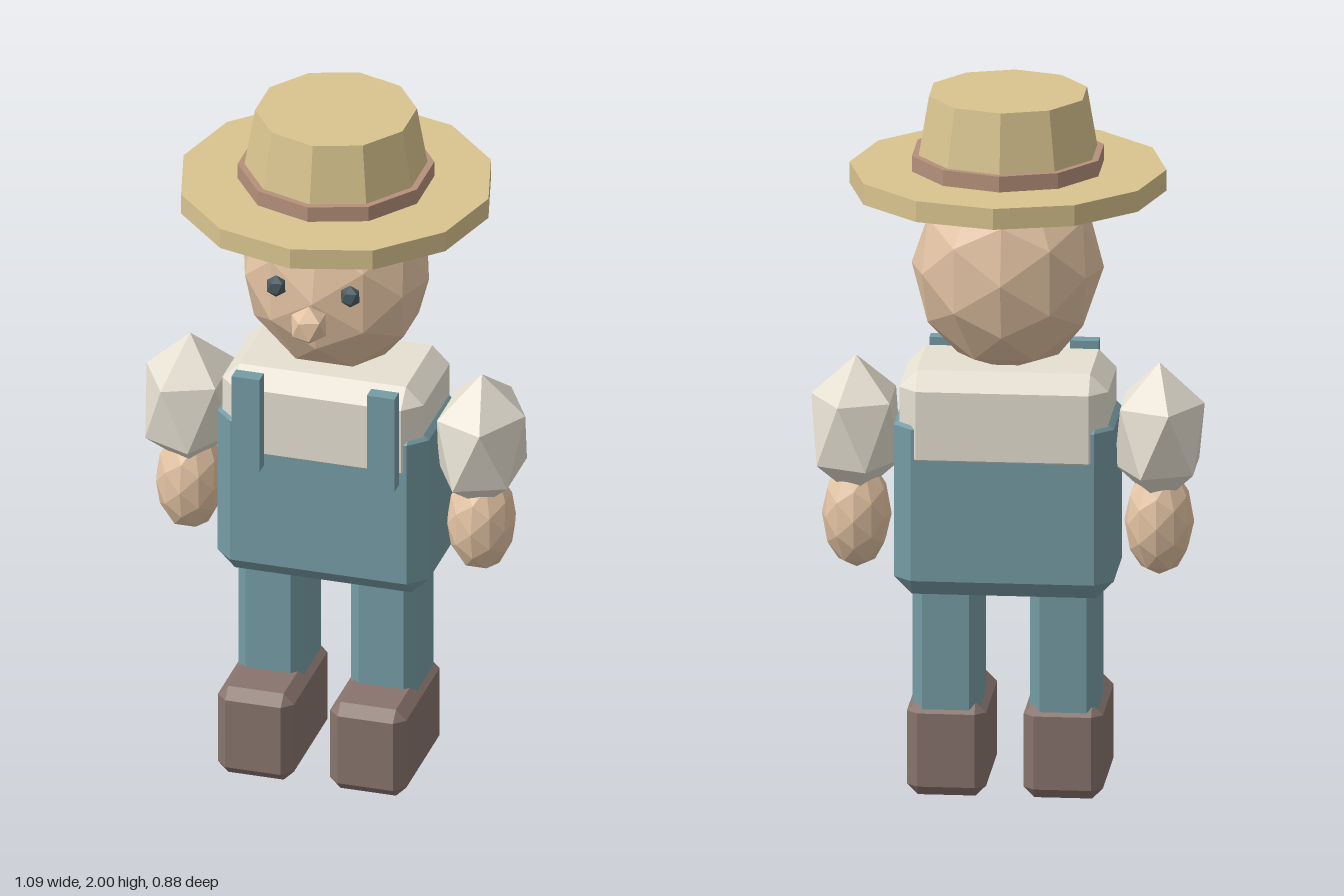
import * as THREE from 'three';
import { ConvexGeometry } from 'three/addons/geometries/ConvexGeometry.js';

const mat = (color) => new THREE.MeshStandardMaterial({ color, flatShading: true });
const STRAW = mat(0xd9c48f), BAND = mat(0xb5907a), SKIN = mat(0xe4c4a4), SHIRT = mat(0xe6e0d2);
const DENIM = mat(0x769ca5), BOOT = mat(0x88746d), EYE = mat(0x4a5a60);

// angle that stands an icosahedron on one of its corners
const ON_CORNER = Math.atan(0.5257 / 0.8507);

// box with every edge cut off at 45 degrees
function chamferBox(w, h, d, c) {
  const points = [];
  for (const sx of [-1, 1]) for (const sy of [-1, 1]) for (const sz of [-1, 1]) {
    const x = w / 2, y = h / 2, z = d / 2;
    points.push(
      new THREE.Vector3(sx * x, sy * (y - c), sz * (z - c)),
      new THREE.Vector3(sx * (x - c), sy * y, sz * (z - c)),
      new THREE.Vector3(sx * (x - c), sy * (y - c), sz * z));
  }
  return new ConvexGeometry(points);
}

// faceted ball stretched to the given radii, optionally turned first
function ball(detail, rx, ry, rz, turnZ = 0) {
  return new THREE.IcosahedronGeometry(1, detail).rotateZ(turnZ).scale(rx, ry, rz);
}

export function createModel() {
  const model = new THREE.Group();
  const add = (name, geometry, material, x, y, z) => {
    const mesh = new THREE.Mesh(geometry, material);
    mesh.name = name;
    mesh.position.set(x, y, z);
    model.add(mesh);
    return mesh;
  };

  // body
  add('overalls', chamferBox(0.61, 0.535, 0.344, 0.05), DENIM, 0, 0.8525, 0);
  add('shirt', chamferBox(0.58, 0.295, 0.354, 0.05), SHIRT, 0, 1.0825, 0);

  // head
  add('head', ball(1, 0.267, 0.3, 0.235), SKIN, 0, 1.505, -0.005);
  add('nose', ball(0, 0.055, 0.058, 0.058, ON_CORNER), SKIN, 0, 1.457, 0.262);

  // paired parts
  for (const [side, s] of [['left', 1], ['right', -1]]) {
    add(side + 'Eye', ball(0, 0.03, 0.034, 0.024, ON_CORNER), EYE, s * 0.107, 1.542, 0.22);
    add(side + 'Strap', new THREE.BoxGeometry(0.08, 0.29, 0.042), DENIM, s * 0.195, 1.093, 0.199);
    add(side + 'Sleeve', ball(0, 0.14, 0.205, 0.182, -s * ON_CORNER), SHIRT, s * 0.421, 1.028, 0);
    add(side + 'Hand', ball(1, 0.097, 0.155, 0.105), SKIN, s * 0.42, 0.78, 0);
    add(side + 'Leg', chamferBox(0.19, 0.49, 0.22, 0.03), DENIM, s * 0.163, 0.415, 0);
    add(side + 'Boot', chamferBox(0.22, 0.27, 0.38, 0.03), BOOT, s * 0.162, 0.135, 0.07);
  }

  // hat
  add('hatBrim', new THREE.CylinderGeometry(0.44, 0.44, 0.06, 12), STRAW, 0, 1.757, 0);
  add('hatBand', new THREE.CylinderGeometry(0.272, 0.272, 0.046, 10), BAND, 0, 1.809, 0);
  add('hatCrown', new THREE.CylinderGeometry(0.224, 0.262, 0.22, 10), STRAW, 0, 1.89, 0);

  return model;
}
